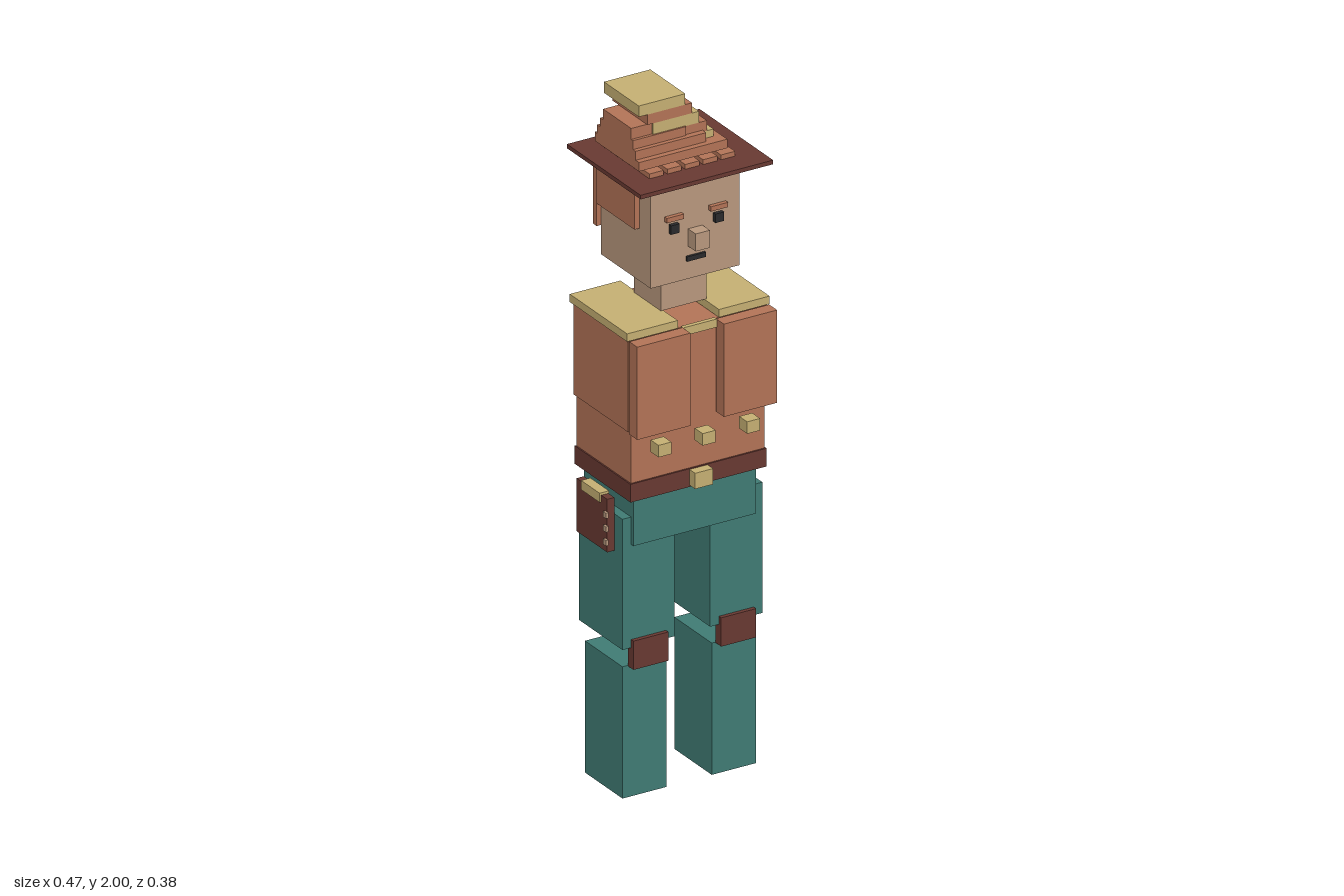
import * as THREE from 'three';

export function createModel() {
  const model = new THREE.Group();
  const mat = (name, color) => {
    const m = new THREE.MeshStandardMaterial({ color });
    m.name = name;
    return m;
  };
  const rust = mat('rust', 0xb57558), tan = mat('tan', 0xc8b274), teal = mat('teal', 0x417d76);
  const leather = mat('leather', 0x6a3a33), skin = mat('skin', 0xbb9a7f), black = mat('black', 0x2a2a2c);
  const CX = 0.012; // the body's own centre line

  // Box given by its limits on each axis
  const box = (name, material, x0, x1, y0, y1, z0, z1) => {
    const mesh = new THREE.Mesh(new THREE.BoxGeometry(x1 - x0, y1 - y0, z1 - z0), material);
    mesh.position.set((x0 + x1) / 2, (y0 + y1) / 2, (z0 + z1) / 2);
    mesh.name = name;
    model.add(mesh);
  };
  // Box centred on the body's centre line
  const mid = (name, material, halfWidth, ...yz) =>
    box(name, material, CX - halfWidth, CX + halfWidth, ...yz);
  // Mirrored pair, with inner and outer distance from the centre line
  const pair = (name, material, inner, outer, ...yz) => {
    box(name + 'Left', material, CX + inner, CX + outer, ...yz);
    box(name + 'Right', material, CX - outer, CX - inner, ...yz);
  };

  // Legs
  pair('lowerLeg', teal, 0.07, 0.207, 0, 0.385, -0.098, 0.09);
  pair('upperLeg', teal, 0.055, 0.217, 0.443, 0.825, -0.112, 0.106);
  pair('kneePad', leather, 0.082, 0.19, 0.383, 0.467, 0.09, 0.118);

  // Hips and belt
  mid('hips', teal, 0.19, 0.745, 0.885, -0.13, 0.118);
  mid('belt', leather, 0.211, 0.885, 0.938, -0.143, 0.137);
  mid('buckle', tan, 0.028, 0.89, 0.936, 0.137, 0.165);

  // Torso, vest and shoulders
  mid('torso', rust, 0.207, 0.938, 1.355, -0.14, 0.132);
  pair('vestFront', rust, 0.052, 0.217, 1.087, 1.358, 0.14, 0.18);
  pair('vestSide', rust, 0.207, 0.216, 1.09, 1.356, -0.14, 0.132);
  pair('shoulderPad', tan, 0.064, 0.221, 1.357, 1.38, -0.152, 0.136);
  mid('collar', tan, 0.052, 1.335, 1.359, 0.132, 0.145);
  for (const x of [-0.125, 0.012, 0.15])
    box('button', tan, x - 0.02, x + 0.02, 1.025, 1.06, 0.15, 0.19);
  [-0.131, -0.032, 0.065, 0.167].forEach((x, i) =>
    box('backStripe', i < 2 ? tan : rust, x - 0.018, x + 0.018, 1.06, 1.337, -0.148, -0.14));

  // Pouch on the right hip
  box('pouch', leather, -0.23, -0.208, 0.72, 0.875, -0.083, 0.07);
  box('pouchFlap', tan, -0.235, -0.206, 0.855, 0.882, -0.053, 0.04);
  for (const y of [0.75, 0.79, 0.83])
    box('pouchStud', skin, -0.237, -0.229, y - 0.008, y + 0.008, 0.06, 0.075);

  // Head and face
  mid('neck', skin, 0.071, 1.38, 1.485, -0.072, 0.063);
  mid('head', skin, 0.138, 1.485, 1.762, -0.13, 0.12);
  mid('nose', skin, 0.022, 1.58, 1.631, 0.118, 0.158);
  mid('mouth', black, 0.029, 1.539, 1.553, 0.118, 0.127);
  pair('eye', black, 0.056, 0.082, 1.633, 1.659, 0.118, 0.132);
  pair('eyebrow', rust, 0.042, 0.095, 1.67, 1.684, 0.118, 0.132);

  // Hair
  mid('hairTop', rust, 0.14, 1.762, 1.788, -0.14, 0.105);
  pair('hairSide', rust, 0.138, 0.153, 1.638, 1.788, -0.13, 0.063);
  mid('hairBack', rust, 0.151, 1.57, 1.788, -0.149, -0.13);

  // Hat brim and the slats of the hat band
  box('hatBrim', leather, -0.193, 0.218, 1.786, 1.798, -0.192, 0.178);
  for (let i = 0; i < 5; i++)
    box('bandSlat', rust, -0.12 + i * 0.0555, -0.076 + i * 0.0555, 1.798, 1.812, -0.138, 0.104);

  // Stepped crown: alternating layers leaning to the right side
  box('crownBase', rust, -0.153, 0.121, 1.828, 1.854, -0.117, 0.105);
  [
    [tan, -0.13, 0.1, 1.854, 1.875],
    [rust, -0.13, 0.079, 1.875, 1.905],
    [tan, -0.088, 0.055, 1.905, 1.938],
    [rust, -0.105, 0.033, 1.938, 1.968],
    [tan, -0.132, 0.012, 1.968, 2],
  ].forEach(([m, ...limits]) => box('crownLayer', m, ...limits, -0.105, 0.07));

  // Steps wrapped round the crown's right side
  box('crownStep', rust, -0.153, 0.066, 1.854, 1.88, -0.105, 0.088);
  box('crownStep', rust, -0.153, 0.012, 1.88, 1.906, -0.09, 0.075);
  box('crownStep', rust, -0.153, -0.088, 1.906, 1.938, -0.075, 0.066);

  return model;
}
